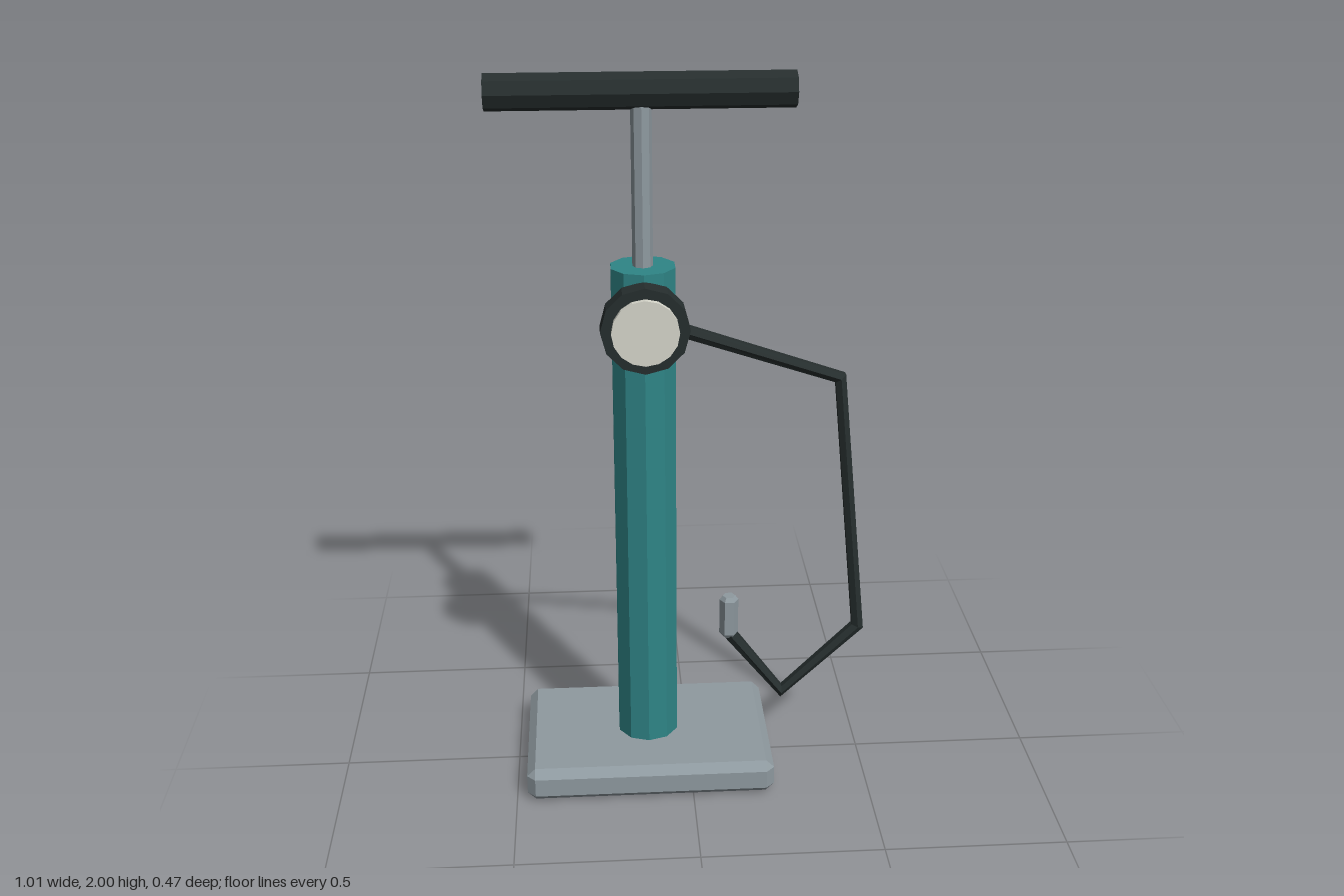
import * as THREE from 'three';
import { ConvexGeometry } from 'three/addons/geometries/ConvexGeometry.js';

const flat = (name, color) => {
  const m = new THREE.MeshStandardMaterial({ color, flatShading: true });
  m.name = name;
  return m;
};

// Box with all edges cut at 45 degrees
function chamferedBox(w, h, d, c) {
  const pts = [];
  for (const x of [-w / 2, w / 2]) for (const y of [-h / 2, h / 2]) for (const z of [-d / 2, d / 2]) {
    const ix = x - Math.sign(x) * c, iy = y - Math.sign(y) * c, iz = z - Math.sign(z) * c;
    pts.push(new THREE.Vector3(x, iy, iz), new THREE.Vector3(ix, y, iz), new THREE.Vector3(ix, iy, z));
  }
  return new ConvexGeometry(pts);
}

// Straight-segment path with averaged directions at its bends
class BentPath extends THREE.Curve {
  constructor(points) { super(); this.points = points; }
  getPoint(t) {
    const n = this.points.length - 1, i = Math.min(Math.floor(t * n + 1e-6), n - 1);
    return this.points[i].clone().lerp(this.points[i + 1], t * n - i);
  }
  getPointAt(t) { return this.getPoint(t); }
  getTangentAt(t) {
    const p = this.points, i = Math.round(t * (p.length - 1)), dir = new THREE.Vector3();
    if (i > 0) dir.add(p[i].clone().sub(p[i - 1]).normalize());
    if (i < p.length - 1) dir.add(p[i + 1].clone().sub(p[i]).normalize());
    return dir.normalize();
  }
}

export function createModel() {
  const model = new THREE.Group();
  model.name = 'floorPump';
  const teal = flat('teal', 0x2f8587);
  const steel = flat('steel', 0x8f9aa0);
  const black = flat('black', 0x262e2e);
  const cream = flat('cream', 0xd6d6cb);
  const axisX = -0.12;

  const add = (name, geometry, material, x, y, z) => {
    const mesh = new THREE.Mesh(geometry, material);
    mesh.name = name;
    mesh.position.set(x, y, z);
    model.add(mesh);
    return mesh;
  };
  const cylinder = (r, length, sides) => new THREE.CylinderGeometry(r, r, length, sides);

  // Foot, barrel, plunger and grip
  add('base', chamferedBox(0.7, 0.1, 0.465, 0.023), steel, axisX, 0.05, 0);
  add('barrel', cylinder(0.088, 1.41, 10), teal, axisX, 0.797, 0);
  add('plungerRod', cylinder(0.027, 0.45, 8), steel, axisX, 1.715, 0);
  add('handle', cylinder(0.047, 0.78, 8).rotateZ(Math.PI / 2), black, axisX, 1.953, 0);

  // Pressure gauge on the front
  add('gaugeBody', cylinder(0.116, 0.06, 12).rotateX(Math.PI / 2), black, axisX, 1.368, 0.111);
  add('gaugeDial', cylinder(0.088, 0.03, 16).rotateX(Math.PI / 2), cream, axisX, 1.368, 0.142);

  // Hose bending down the left side
  const bends = [[-0.05, 1.333], [0.41, 1.178], [0.487, 0.412], [0.27, 0.2], [0.117, 0.4]]
    .map(([x, y]) => new THREE.Vector3(x, y, 0));
  const hose = new THREE.TubeGeometry(new BentPath(bends), bends.length - 1, 0.02, 6, false);
  add('hose', hose, black, 0, 0, 0);

  // Nozzle with cut ends
  const profile = [[0, 0], [0.018, 0], [0.027, 0.012], [0.027, 0.118], [0.018, 0.13], [0, 0.13]]
    .map(([r, y]) => new THREE.Vector2(r, y));
  add('nozzle', new THREE.LatheGeometry(profile, 6).rotateY(Math.PI / 2), steel, 0.115, 0.39, 0);

  return model;
}
